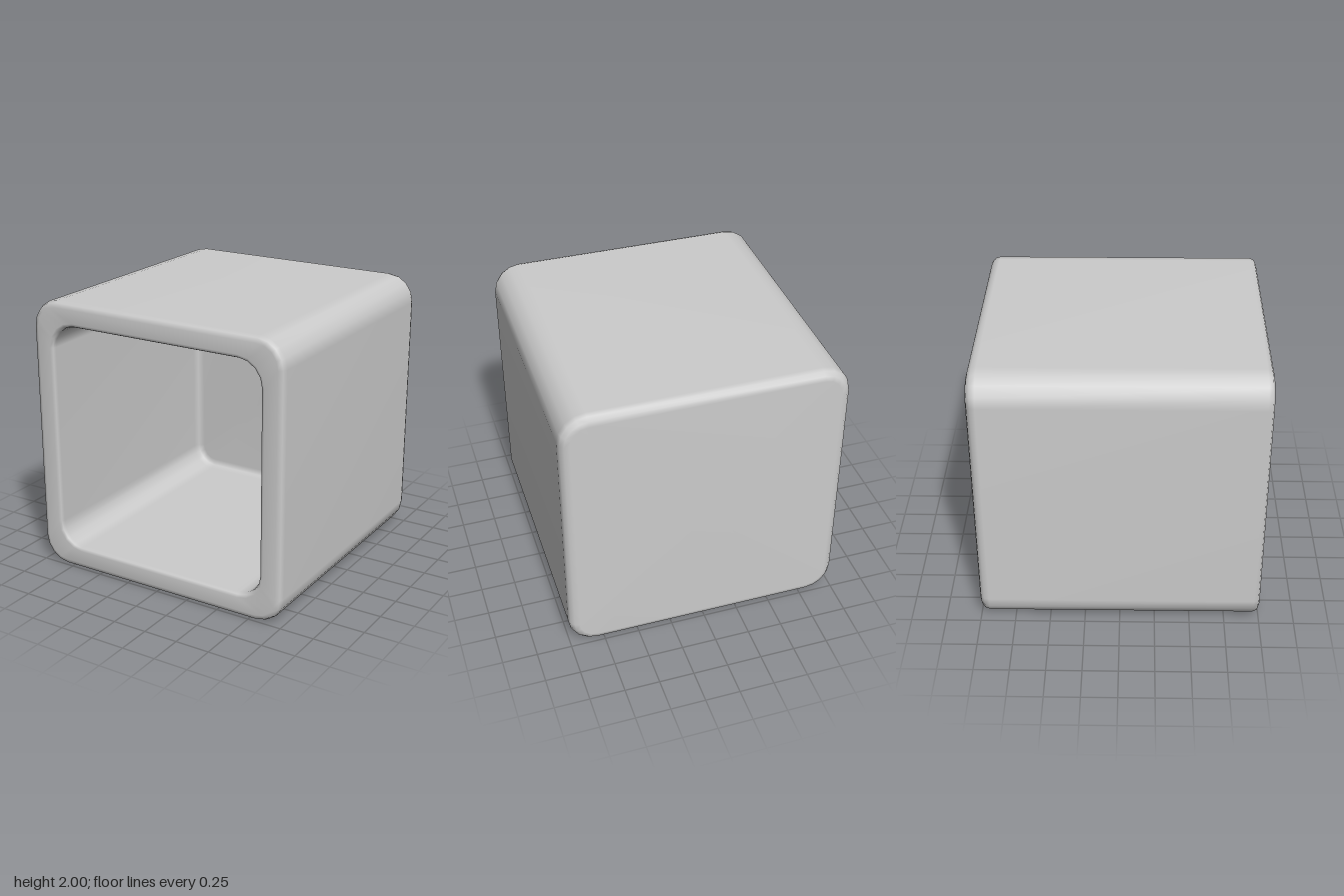
import * as THREE from 'three';

const CORNER_STEPS = 4;

// Rounded square outline, counter-clockwise seen from the front
function squareRing(half, radius, z) {
  const points = [];
  const c = half - radius;
  for (let corner = 0; corner < 4; corner++) {
    const start = corner * Math.PI / 2;
    const sx = corner === 0 || corner === 3 ? 1 : -1;
    const sy = corner < 2 ? 1 : -1;
    for (let i = 0; i <= CORNER_STEPS; i++) {
      const a = start + (i / CORNER_STEPS) * Math.PI / 2;
      points.push(sx * c + radius * Math.cos(a), 1 + sy * c + radius * Math.sin(a), z);
    }
  }
  return points;
}

// Skin a series of rings with smooth normals
function loft(rings) {
  const n = 4 * (CORNER_STEPS + 1);
  const index = [];
  for (let i = 0; i < rings.length - 1; i++) {
    for (let j = 0; j < n; j++) {
      const a = i * n + j, b = i * n + (j + 1) % n;
      index.push(a, b, a + n, b, b + n, a + n);
    }
  }
  const geometry = new THREE.BufferGeometry();
  geometry.setAttribute('position', new THREE.Float32BufferAttribute(rings.flat(), 3));
  geometry.setIndex(index);
  geometry.computeVertexNormals();
  return geometry;
}

export function createModel() {
  const group = new THREE.Group();
  group.name = 'openBox';

  // Outside, from the back centre to the front rim: [half width, z]
  const outer = [[0, -1], [0.93, -1], [0.965, -0.99], [0.99, -0.965], [1, -0.93],
    [1, 0.955], [0.987, 0.987], [0.955, 1]];
  // Inside, from the rim to the centre of the inner back wall
  const inner = [[0.86, 1], [0.839, 0.991], [0.83, 0.97], [0.83, -0.77],
    [0.812, -0.812], [0.77, -0.83], [0, -0.83]];

  const rings = [
    ...outer.map(([h, z]) => squareRing(h, Math.max(0, h - 0.8), z)),
    ...inner.map(([h, z]) => squareRing(h, Math.max(0, h - 0.66), z)),
  ];

  const shell = new THREE.Mesh(loft(rings), new THREE.MeshStandardMaterial({ color: 0xcccccc }));
  shell.name = 'shell';
  group.add(shell);
  return group;
}
